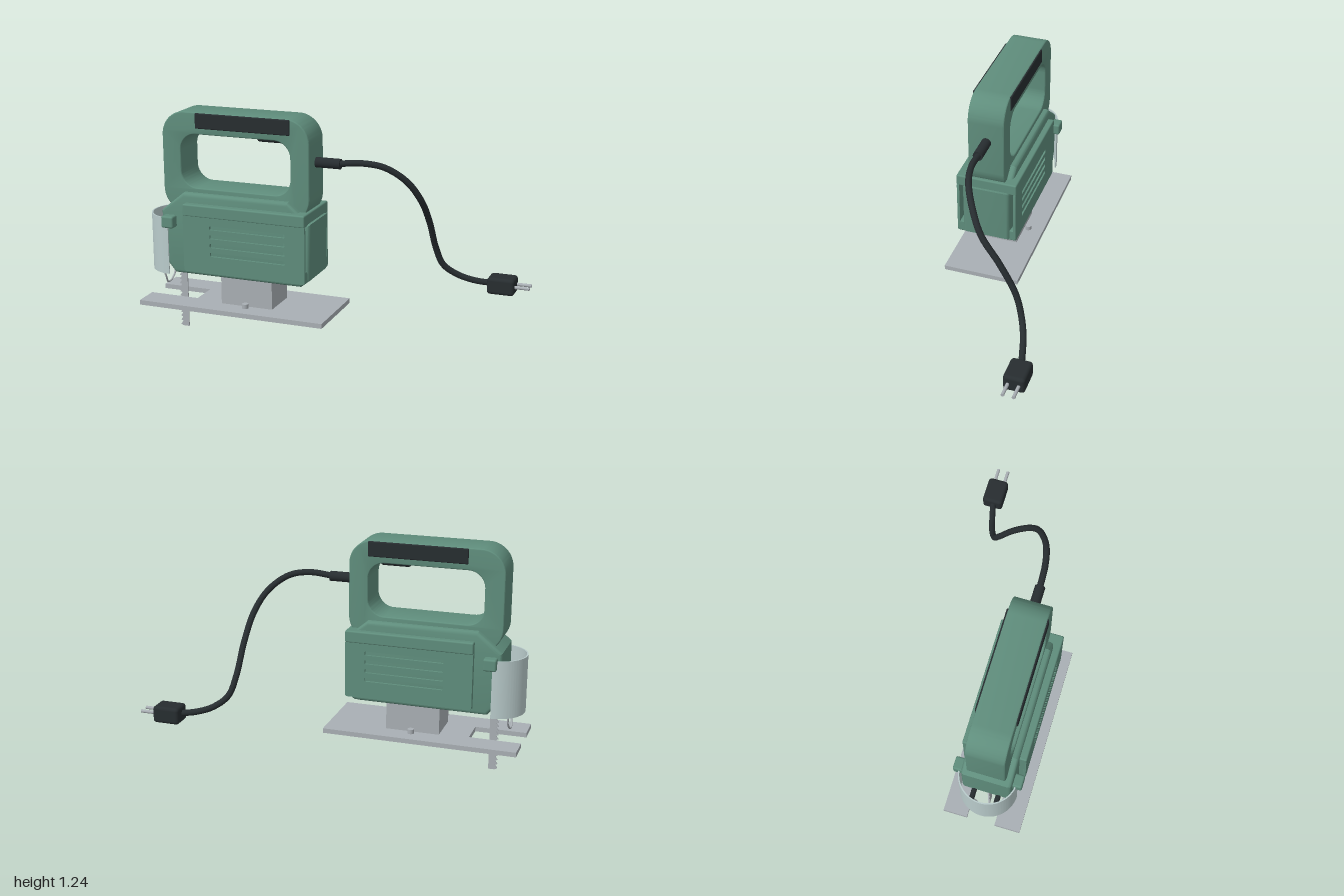
import * as THREE from 'three';
import { RoundedBoxGeometry } from 'three/addons/geometries/RoundedBoxGeometry.js';
import { toCreasedNormals } from 'three/addons/utils/BufferGeometryUtils.js';

const CZ = 0.16; // centre plane of the tool
const mat = (color) => new THREE.MeshStandardMaterial({ color });
const green = mat(0x5f8d7c), dark = mat(0x272d30), metal = mat(0xa9afb4);
const clear = new THREE.MeshStandardMaterial({ color: 0xb9cbcb, side: THREE.DoubleSide });

export function createModel() {
  const root = new THREE.Group();

  const add = (name, geometry, material) => {
    const mesh = new THREE.Mesh(geometry, material);
    mesh.name = name;
    root.add(mesh);
    return mesh;
  };
  // Box given by its limits, rounded when r > 0
  const box = (name, [x0, x1], [y0, y1], [z0, z1], material, r = 0) => {
    const s = [x1 - x0, y1 - y0, z1 - z0];
    const g = r ? new RoundedBoxGeometry(...s, 3, r) : new THREE.BoxGeometry(...s);
    g.translate((x0 + x1) / 2, (y0 + y1) / 2, (z0 + z1) / 2);
    return add(name, g, material);
  };
  const polygon = (pts) => new THREE.Shape(pts.map((p) => new THREE.Vector2(...p)));
  const roundRect = (path, x0, x1, y0, y1, r) => {
    path.moveTo(x0 + r, y0);
    path.lineTo(x1 - r, y0);
    path.absarc(x1 - r, y0 + r, r, -Math.PI / 2, 0);
    path.absarc(x1 - r, y1 - r, r, 0, Math.PI / 2);
    path.absarc(x0 + r, y1 - r, r, Math.PI / 2, Math.PI);
    path.absarc(x0 + r, y0 + r, r, Math.PI, Math.PI * 1.5);
    return path;
  };
  // Outline in x/y, extruded about z = zc
  const slab = (shape, depth, zc, bevel = 0) => {
    const g = new THREE.ExtrudeGeometry(shape, {
      depth: depth - 2 * bevel, bevelEnabled: bevel > 0, bevelSize: bevel,
      bevelThickness: bevel, bevelOffset: -bevel, bevelSegments: 3, curveSegments: 12,
    });
    g.translate(0, 0, zc - depth / 2 + bevel);
    return toCreasedNormals(g, 0.6);
  };
  const rodX = (name, x0, x1, y, z, r, material) => {
    const g = new THREE.CylinderGeometry(r, r, x1 - x0, 20);
    g.rotateZ(Math.PI / 2).translate((x0 + x1) / 2, y, z);
    return add(name, g, material);
  };
  const tube = (name, pts, r, segments, material) => add(name, new THREE.TubeGeometry(
    new THREE.CatmullRomCurve3(pts.map((p) => new THREE.Vector3(...p))), segments, r, 12), material);

  // Motor housing
  add('housing', slab(polygon([
    [-0.82, 0.355], [-0.11, 0.355], [-0.06, 0.4], [-0.06, 0.72], [-0.16, 0.805],
    [-0.76, 0.805], [-0.89, 0.7], [-0.89, 0.44],
  ]), 0.27, CZ, 0.02), green);
  add('rearCap', slab(polygon([
    [-0.2, 0.355], [-0.09, 0.355], [-0.04, 0.395], [-0.035, 0.7], [-0.2, 0.7],
  ]), 0.268, CZ + 0.002, 0.02), green);
  box('shoulderBand', [-0.745, -0.05], [0.69, 0.755], [-0.008, 0.333], green, 0.008);

  // Vented side covers, standing off the housing on a lower rail
  const cover = roundRect(new THREE.Shape(), -0.745, -0.05, 0.385, 0.7, 0.015);
  for (let i = 0; i < 4; i++) {
    const y = 0.48 + i * 0.049;
    cover.holes.push(roundRect(new THREE.Path(), -0.59, -0.16, y, y + 0.022, 0.006));
  }
  for (const s of [-1, 1]) {
    const side = s > 0 ? 'left' : 'right';
    add(side + 'SideCover', slab(cover, 0.014, CZ + 0.003 + s * 0.161), green);
    const z = CZ + 0.003 + s * 0.145;
    box(side + 'CoverRail', [-0.745, -0.05], [0.386, 0.45], [z - 0.022, z + 0.022], green, 0.006);
    box(side + 'CoverFrontEdge', [-0.745, -0.725], [0.39, 0.7], [z - 0.02, z + 0.02], green);
    // Guard hinge block
    const h = CZ + s * 0.153;
    box(side + 'GuardHinge', [-0.87, -0.8], [0.615, 0.68], [h - 0.03, h + 0.03], green, 0.01);
  }

  // D-shaped handle with side grips and trigger
  const handle = roundRect(new THREE.Shape(), -0.885, -0.05, 0.69, 1.237, 0.13);
  handle.holes.push(roundRect(new THREE.Path(), -0.78, -0.155, 0.83, 1.12, 0.09));
  add('handle', slab(handle, 0.2, CZ, 0.006), green);
  for (const s of [-1, 1]) {
    const z = CZ + s * 0.1;
    box('gripPad', [-0.69, -0.155], [1.152, 1.234], [z - 0.007, z + 0.007], dark, 0.006);
  }
  box('trigger', [-0.37, -0.2], [1.092, 1.15], [CZ - 0.04, CZ + 0.04], dark, 0.018);

  // Base plate with blade slot
  const plate = add('basePlate', slab(polygon([
    [-1, -0.375], [0.06, -0.375], [0.06, 0.052], [-1, 0.052],
    [-1, -0.08], [-0.72, -0.08], [-0.72, -0.235], [-1, -0.235],
  ]), 0.026, 0), metal);
  plate.rotation.x = -Math.PI / 2;
  plate.position.y = 0.188;
  box('mountBlock', [-0.56, -0.265], [0.2, 0.37], [0.06, 0.265], metal);
  for (const z of [0.035, 0.29]) {
    add('plateScrew', new THREE.CylinderGeometry(0.018, 0.018, 0.03, 16)
      .translate(-0.41, 0.21, z), metal);
  }

  // Saw blade with teeth along its front edge
  const teeth = [[-0.815, 0], [-0.815, 0.42], [-0.855, 0.42]];
  for (let i = 0; i < 14; i++) {
    const y = 0.34 - i * 0.024;
    teeth.push([-0.85, y], [-0.864, y - 0.02]);
  }
  teeth.push([-0.85, 0]);
  add('blade', slab(polygon(teeth), 0.007, CZ), metal);

  // Curved chip guard, open at top and bottom
  const arc = new THREE.Shape();
  arc.absarc(-0.845, -CZ, 0.155, Math.PI / 2, Math.PI * 1.5);
  arc.absarc(-0.845, -CZ, 0.148, Math.PI * 1.5, Math.PI / 2, true);
  const guard = new THREE.ExtrudeGeometry(arc, { depth: 0.315, bevelEnabled: false, curveSegments: 32 });
  add('chipGuard', toCreasedNormals(guard.rotateX(-Math.PI / 2).translate(0, 0.35, 0), 0.6), clear);

  // Wire finger guard below it
  tube('fingerGuard', [
    [-0.94, 0.44, 0.095], [-0.925, 0.34, 0.095], [-0.92, 0.29, 0.11], [-0.927, 0.255, 0.14],
    [-0.927, 0.255, 0.18], [-0.92, 0.29, 0.21], [-0.925, 0.34, 0.225], [-0.94, 0.44, 0.225],
  ], 0.005, 40, metal);
  for (const z of [0.095, 0.225]) rodX('wirePin', -0.965, -0.88, 0.44, z, 0.014, dark);

  // Power cord and plug
  rodX('strainRelief', -0.07, 0.085, 1.002, 0.157, 0.027, dark);
  tube('cord', [
    [0.05, 1, 0.157], [0.2, 1.014, 0.15], [0.31, 0.995, 0.125], [0.41, 0.92, 0.07],
    [0.47, 0.81, 0.005], [0.49, 0.665, -0.1], [0.502, 0.5, -0.19], [0.535, 0.395, -0.23],
    [0.61, 0.335, -0.265], [0.7, 0.305, -0.29], [0.8, 0.293, -0.315],
  ], 0.017, 90, dark);
  box('plug', [0.77, 0.92], [0.245, 0.338], [-0.372, -0.257], dark, 0.018);
  for (const z of [-0.342, -0.285]) rodX('plugProng', 0.91, 1, 0.292, z, 0.009, metal);

  return root;
}
